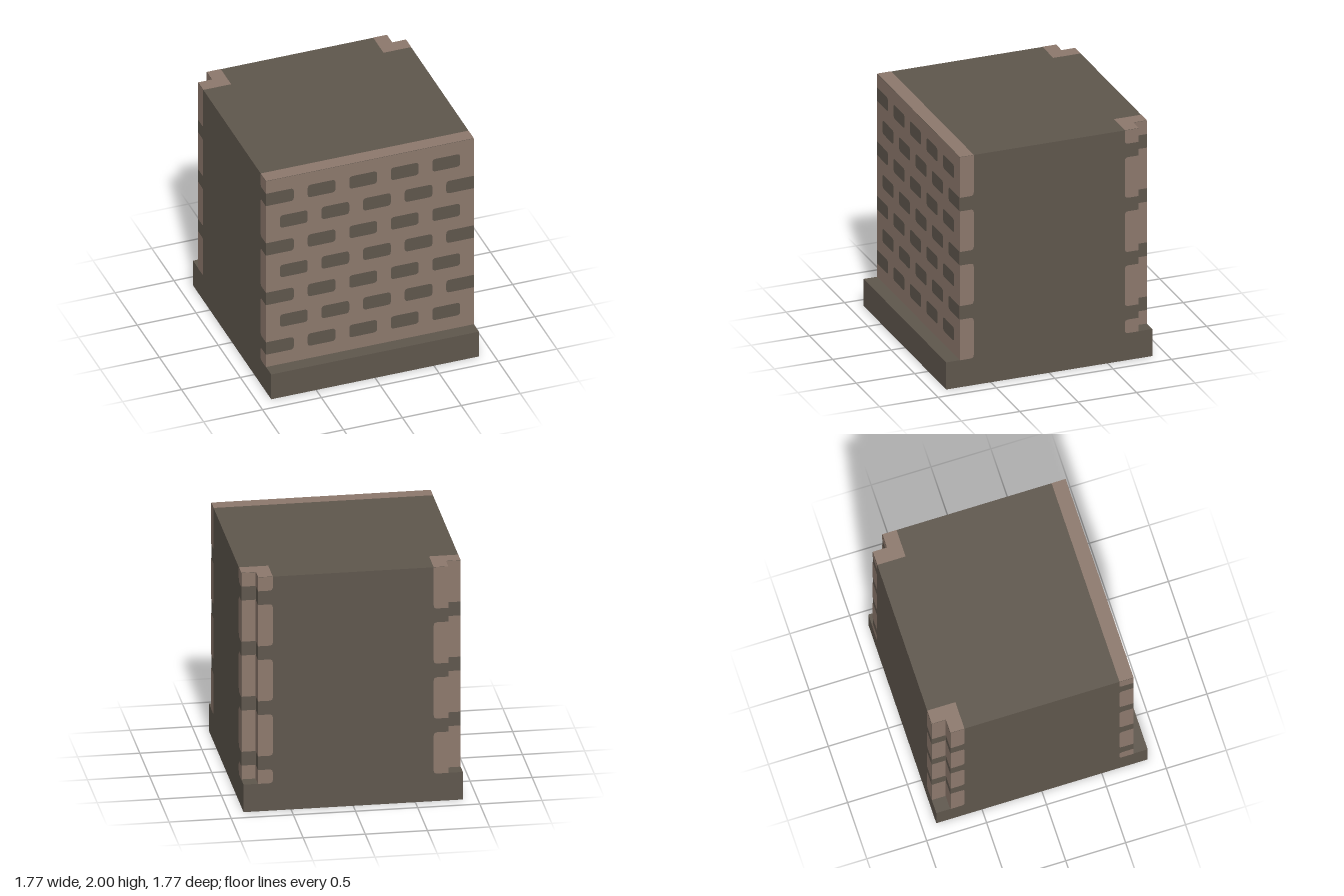
import * as THREE from 'three';

// All sizes are in brick units: the block is 15 wide, 17 high and 15 deep.
const UNIT = 2 / 17, LIFT = 0.015, R = 0.24;
const TOP = 17, BASE = 2, HALF = 7.5, WALL = 6.5, INNER = 5.5;

// Rectangle whose left and right corners can be rounded separately
function rect(x0, x1, y0, y1, left = 0, right = 0) {
  const top = y1 === TOP ? 0 : 1; // square where it meets the top edge
  const corners = [
    [x0, y0, 0, 1, 1, 0, left], [x1, y0, -1, 0, 0, 1, right],
    [x1, y1, 0, -1, -1, 0, right * top], [x0, y1, 1, 0, 0, -1, left * top],
  ];
  const s = new THREE.Shape();
  corners.forEach(([x, y, ax, ay, bx, by, r], i) => {
    const sx = x + ax * r, sy = y + ay * r;
    if (i === 0) s.moveTo(sx, sy); else s.lineTo(sx, sy);
    if (r > 0) s.quadraticCurveTo(x, y, x + bx * r, y + by * r);
  });
  s.closePath();
  return s;
}

// Mortar column broken by brick rows; the two phases alternate between corners
function column(x0, x1, phase, left = 0, right = 0) {
  const shapes = [];
  let y = BASE;
  for (let gap = phase === 'A' ? 3 : 5; gap < TOP; gap += 4) {
    shapes.push(rect(x0, x1, y, gap, left, right));
    y = gap + 1;
  }
  shapes.push(rect(x0, x1, y, TOP, left, right));
  return shapes;
}

export function createModel() {
  const brick = new THREE.MeshStandardMaterial({ color: 0x5e564c });
  brick.name = 'darkStone';
  const mortar = new THREE.MeshStandardMaterial({ color: 0x8c786c });
  mortar.name = 'tanMortar';

  const model = new THREE.Group();
  model.name = 'brickBlock';
  const parts = new THREE.Group();
  parts.name = 'blockParts';
  parts.scale.setScalar(UNIT);
  model.add(parts);

  const add = (name, geometry, material) => {
    const mesh = new THREE.Mesh(geometry, material);
    mesh.name = name;
    parts.add(mesh);
  };
  // Flat facing on an upright wall, turned about y and moved out to its distance
  const face = (name, shapes, material, turn, distance) => add(
    name, new THREE.ShapeGeometry(shapes, 4).translate(0, 0, distance).rotateY(turn), material);

  // Base slab
  add('base', new THREE.BoxGeometry(15, BASE, 15).translate(0, BASE / 2, 0), brick);

  // Body, notched at the two back corners
  const outline = new THREE.Shape([
    [-HALF, -WALL], [HALF, -WALL], [HALF, WALL], [WALL, WALL],
    [WALL, HALF], [-WALL, HALF], [-WALL, WALL], [-HALF, WALL],
  ].map(([x, y]) => new THREE.Vector2(x, y)));
  add('body', new THREE.ExtrudeGeometry(outline, { depth: TOP - BASE, bevelEnabled: false })
    .rotateX(-Math.PI / 2).translate(0, BASE, 0), brick);

  // Front mortar panel and its staggered bricks
  face('frontMortar', [rect(-HALF, HALF, BASE, TOP)], mortar, 0, WALL + LIFT);
  const bricks = [];
  for (let row = 0; row < 7; row++) {
    const start = row % 2 ? -6.5 : -7.5;
    for (let i = 0; i < 5; i++) {
      const x = start + i * 3, y = 3 + row * 2;
      bricks.push(rect(x, x + 2, y, y + 1, x === -HALF ? 0 : R, x + 2 === HALF ? 0 : R));
    }
  }
  face('frontBricks', bricks, brick, 0, WALL + 2 * LIFT);

  // Mortar edges on both sides and the back
  const q = Math.PI / 2, out = HALF + LIFT, inset = WALL + LIFT;
  face('leftSideMortar', [
    ...column(-WALL, -INNER, 'B', 0, R), ...column(INNER, WALL, 'A', R, 0)], mortar, q, out);
  face('rightSideMortar', [
    ...column(INNER, WALL, 'A', R, 0), ...column(-WALL, -INNER, 'B', 0, R)], mortar, -q, out);
  face('backMortar', [
    ...column(-WALL, -INNER, 'A', 0, R), ...column(INNER, WALL, 'B', R, 0)], mortar, 2 * q, out);

  // Mortar inside the corner notches
  face('leftNotchSide', column(WALL, HALF, 'A'), mortar, q, inset);
  face('rightNotchSide', column(-HALF, -WALL, 'B'), mortar, -q, inset);
  face('notchBacks', [
    ...column(-HALF, -WALL, 'A'), ...column(WALL, HALF, 'B')], mortar, 2 * q, inset);

  // Mortar on the top: front strip and an L around each notch
  const topShapes = [rect(-HALF, HALF, -WALL, -INNER)];
  for (const s of [-1, 1]) {
    const span = (a, b, y1) => rect(Math.min(s * a, s * b), Math.max(s * a, s * b), INNER, y1);
    topShapes.push(span(INNER, WALL, HALF), span(WALL, HALF, WALL));
  }
  add('topMortar', new THREE.ShapeGeometry(topShapes)
    .rotateX(-Math.PI / 2).translate(0, TOP + LIFT, 0), mortar);

  return model;
}
